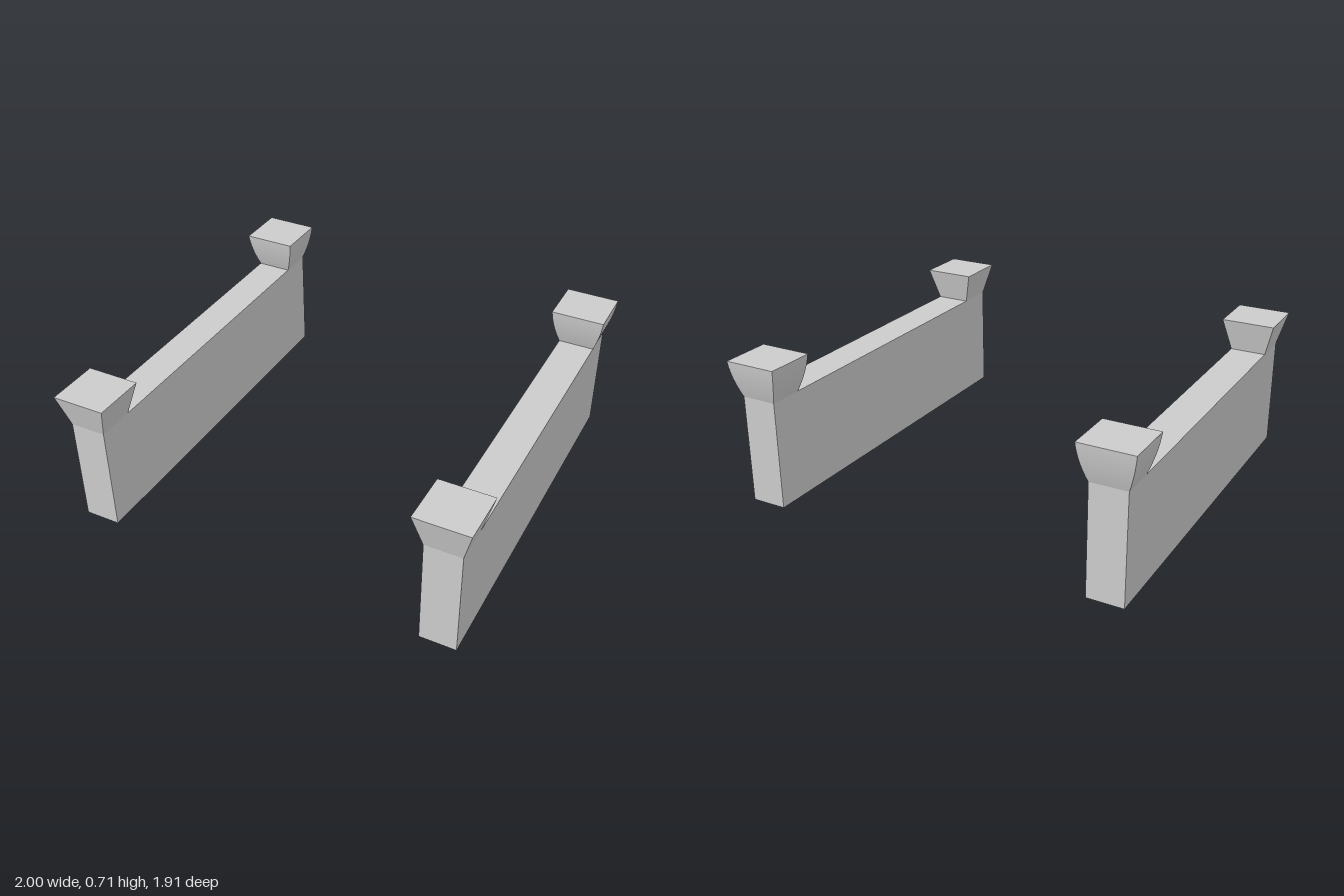
import * as THREE from 'three';

const material = new THREE.MeshStandardMaterial({ color: 0xcccccc });
const WALL = { width: 0.174, height: 0.53, length: 1.836, x: 0.87 };

// Box that widens from a base rectangle to a top rectangle; ease shapes the flare.
// Rectangles are given as half width plus the z range.
function flaredCap(name, base, top, height, rows, ease) {
  const geometry = new THREE.BoxGeometry(2, 1, 1, 1, rows, 1);
  const p = geometry.attributes.position;
  for (let i = 0; i < p.count; i++) {
    const t = p.getY(i) + 0.5;
    const k = ease(t);
    const near = THREE.MathUtils.lerp(base.z0, top.z0, k);
    const far = THREE.MathUtils.lerp(base.z1, top.z1, k);
    p.setXYZ(
      i,
      p.getX(i) * THREE.MathUtils.lerp(base.half, top.half, k),
      WALL.height + t * height,
      p.getZ(i) < 0 ? near : far
    );
  }
  geometry.computeVertexNormals();
  const mesh = new THREE.Mesh(geometry, material);
  mesh.name = name;
  return mesh;
}

function createRail(name, x) {
  const rail = new THREE.Group();
  rail.name = name;
  rail.position.x = x;

  // Long upright wall
  const wall = new THREE.Mesh(new THREE.BoxGeometry(WALL.width, WALL.height, WALL.length), material);
  wall.name = 'wall';
  wall.position.y = WALL.height / 2;
  rail.add(wall);

  // Front cap with straight sloping sides
  const half = WALL.width / 2;
  rail.add(flaredCap('frontCap',
    { half, z0: 0.735, z1: 0.918 },
    { half: 0.13, z0: 0.697, z1: 0.957 },
    0.16, 1, (t) => t));

  // Back cap, slightly taller, with bowed sides
  rail.add(flaredCap('backCap',
    { half, z0: -0.918, z1: -0.749 },
    { half: 0.13, z0: -0.957, z1: -0.709 },
    0.178, 8, (t) => 1.6 * t - 0.6 * t * t));
  return rail;
}

export function createModel() {
  const model = new THREE.Group();
  model.name = 'pairedWalls';
  model.add(createRail('leftRail', WALL.x), createRail('rightRail', -WALL.x));
  return model;
}
